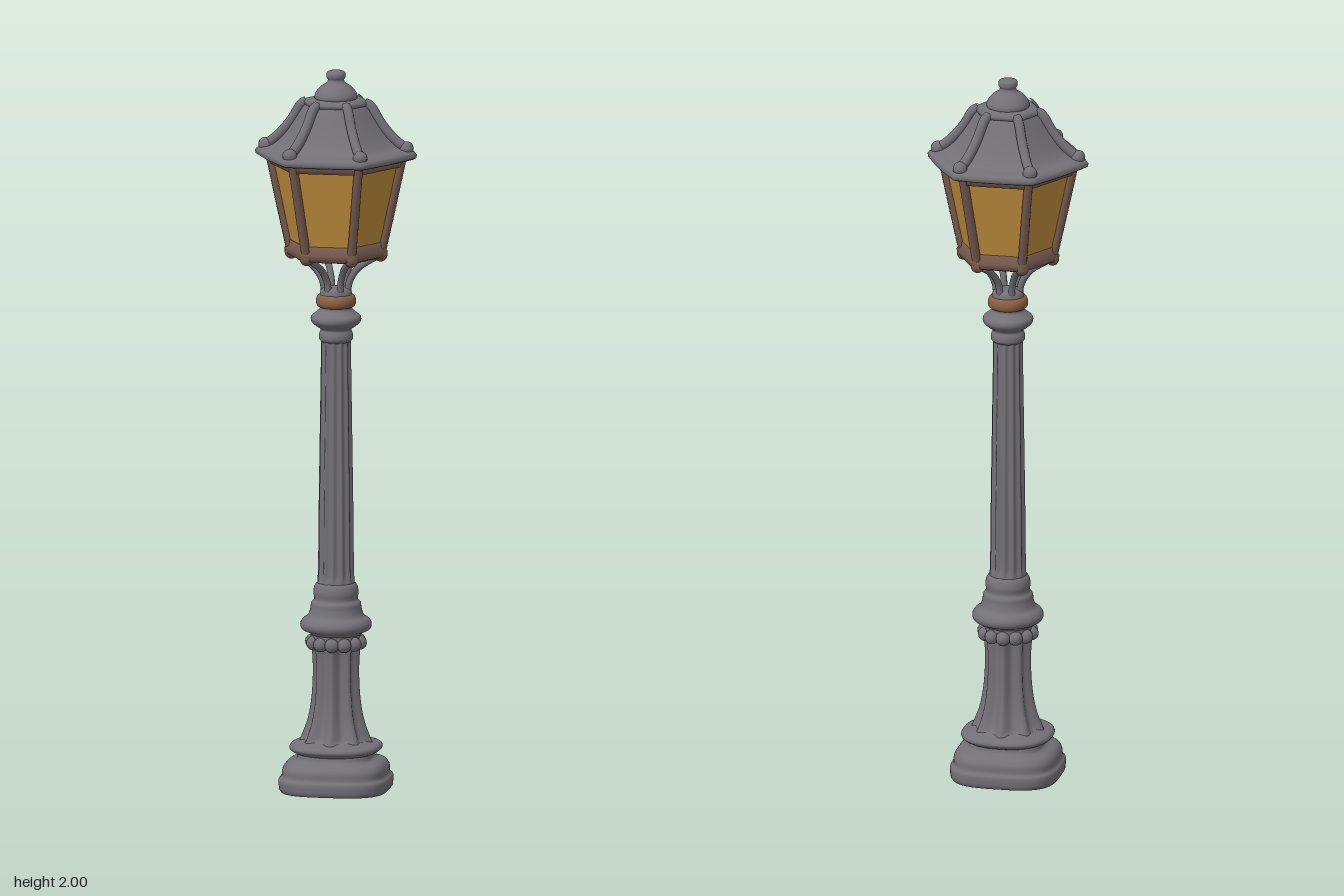
import * as THREE from 'three';

const mat = (name, color) => {
  const m = new THREE.MeshStandardMaterial({ color });
  m.name = name;
  return m;
};

// Radius rules for the cross-sections
const round = (a, y, r) => r;
const hex = (soft) => (a, y, r) => {
  const s = Math.PI / 3, t = (((a % s) + s) % s) - s / 2;
  return r * THREE.MathUtils.lerp(Math.cos(s / 2) / Math.cos(t), 1, soft);
};
const squarish = (n) => (a, y, r) =>
  r / Math.pow(Math.pow(Math.abs(Math.cos(a)), n) + Math.pow(Math.abs(Math.sin(a)), n), 1 / n);
const fluted = (count, depth, y0, y1) => (a, y, r) => {
  const fade = THREE.MathUtils.smoothstep(y, y0, y0 + 0.03) * (1 - THREE.MathUtils.smoothstep(y, y1 - 0.03, y1));
  return r * (1 - depth * fade * Math.pow(Math.abs(Math.sin((a * count) / 2)), 1.5));
};

// Skin a [radius, height] profile, listed from bottom to top, around the y axis
function loft(profile, shape = round, segs = 48) {
  const pos = [], index = [];
  profile.forEach(([r, y], i) => {
    for (let j = 0; j < segs; j++) {
      const a = (j / segs) * Math.PI * 2, k = shape(a, y, r);
      pos.push(Math.cos(a) * k, y, Math.sin(a) * k);
      if (i === profile.length - 1) continue;
      const p = i * segs + j, q = i * segs + ((j + 1) % segs);
      index.push(p, p + segs, q, q, p + segs, q + segs);
    }
  });
  const g = new THREE.BufferGeometry();
  g.setAttribute('position', new THREE.Float32BufferAttribute(pos, 3));
  g.setIndex(index);
  g.computeVertexNormals();
  return g;
}

// Round off a profile
const smooth = (pts, steps = 4) =>
  new THREE.CatmullRomCurve3(pts.map(([r, y]) => new THREE.Vector3(r, y, 0)), false, 'centripetal')
    .getPoints((pts.length - 1) * steps).map((v) => [Math.max(0, v.x), v.y]);

const flat = (g) => {
  const f = g.toNonIndexed();
  f.computeVertexNormals();
  return f;
};

export function createModel() {
  const iron = mat('iron grey', 0x737176);
  const bronze = mat('bronze brown', 0x75584c);
  const copper = mat('copper', 0x8a5f45);
  const amber = mat('amber glass', 0xbd8b3c);

  const lamp = new THREE.Group();
  lamp.name = 'streetLamp';
  const add = (name, geo, m, parent = lamp) => {
    const mesh = new THREE.Mesh(geo, m);
    mesh.name = name;
    parent.add(mesh);
    return mesh;
  };
  const tube = (pts, r) => new THREE.TubeGeometry(
    new THREE.CatmullRomCurve3(pts.map(([x, y]) => new THREE.Vector3(x, y, 0))), 14, r, 8);

  // Rounded-square foot and the ledge above it
  add('foot', loft([[0, 0], [0.14, 0], [0.145, 0.001],
    ...smooth([[0.15, 0.008], [0.151, 0.035], [0.143, 0.045], [0.141, 0.065], [0.13, 0.08], [0.105, 0.09], [0.1, 0.105]])],
  squarish(3.2), 64), iron);
  add('ledge', loft(smooth([[0.095, 0.1], [0.115, 0.108], [0.126, 0.118], [0.122, 0.128], [0.1, 0.135], [0.085, 0.14]]),
    squarish(2.4), 64), iron);

  // Flared, scooped pedestal with a crown of leaf tips
  add('pedestal', loft(smooth([[0.105, 0.125], [0.095, 0.15], [0.08, 0.19], [0.07, 0.24], [0.065, 0.3], [0.065, 0.36],
    [0.068, 0.4], [0.068, 0.44]]), fluted(8, 0.22, 0.12, 0.42), 96), iron);
  for (let i = 0; i < 12; i++) {
    const a = (i / 12) * Math.PI * 2;
    const tip = add('leafTip', new THREE.SphereGeometry(0.02, 12, 8), iron);
    tip.position.set(Math.cos(a) * 0.066, 0.41, Math.sin(a) * 0.066);
  }
  add('pedestalCollar', loft(smooth([[0.06, 0.425], [0.075, 0.438], [0.093, 0.447], [0.098, 0.46], [0.092, 0.474],
    [0.077, 0.485], [0.07, 0.505], [0.068, 0.52], [0.06, 0.53], [0.062, 0.55], [0.057, 0.57], [0.045, 0.58]])), iron);

  // Slim fluted shaft
  add('shaft', loft(smooth([[0.052, 0.56], [0.05, 0.62], [0.048, 0.8], [0.045, 1.0], [0.042, 1.2], [0.041, 1.28]], 8),
    fluted(12, 0.13, 0.57, 1.27), 96), iron);

  // Neck mouldings with a copper band
  add('neck', loft(smooth([[0.038, 1.245], [0.046, 1.253], [0.046, 1.268], [0.042, 1.28], [0.055, 1.29], [0.068, 1.303],
    [0.068, 1.316], [0.054, 1.328], [0.045, 1.337], [0.045, 1.35], [0.043, 1.385], [0.035, 1.395], [0, 1.396]])), iron);
  add('neckBand', loft(smooth([[0.04, 1.34], [0.052, 1.347], [0.055, 1.36], [0.051, 1.373], [0.04, 1.38]])), copper);

  // Lantern glass, open-centred frames and corner parts
  const glass = flat(new THREE.CylinderGeometry(0.18, 0.125, 0.26, 6));
  glass.rotateY(Math.PI / 6).translate(0, 1.63, 0);
  add('glass', glass, amber);
  add('bottomFrame', loft([[0.1, 1.492], [0.128, 1.482], [0.142, 1.488], [0.144, 1.503], [0.136, 1.512], [0.133, 1.526],
    [0.118, 1.53]], hex(0), 72), bronze);
  add('topFrame', loft([[0.165, 1.735], [0.188, 1.738], [0.194, 1.765], [0.16, 1.768]], hex(0), 72), bronze);
  for (let i = 0; i < 6; i++) {
    const corner = new THREE.Group();
    corner.name = 'lanternCorner';
    corner.rotation.y = (i * Math.PI) / 3;
    lamp.add(corner);
    add('cornerPost', tube([[0.126, 1.5], [0.155, 1.63], [0.182, 1.755]], 0.013), bronze, corner);
    add('cornerFoot', new THREE.SphereGeometry(0.019, 14, 10), bronze, corner).position.set(0.124, 1.491, 0);
    add('strut', tube([[0.032, 1.38], [0.038, 1.415], [0.062, 1.452], [0.1, 1.478], [0.122, 1.49]], 0.0095), iron, corner);
    add('roofRidge', tube([[0.205, 1.782], [0.165, 1.811], [0.125, 1.857], [0.095, 1.905], [0.08, 1.912]], 0.014), iron, corner);
    add('ridgeKnob', new THREE.SphereGeometry(0.02, 14, 10), iron, corner).position.set(0.196, 1.788, 0);
  }

  // Six-sided roof, its soffit, cap and finial
  add('soffit', loft([[0, 1.758], [0.215, 1.758], [0.221, 1.762]], hex(0.2), 96), bronze);
  add('roof', loft([[0.219, 1.76], [0.224, 1.763], [0.225, 1.772], [0.22, 1.779],
    ...smooth([[0.208, 1.783], [0.18, 1.79], [0.155, 1.81], [0.125, 1.85], [0.1, 1.89], [0.085, 1.912]])],
  hex(0.2), 96), iron);
  add('roofCap', loft([[0.08, 1.9], [0.092, 1.905], [0.093, 1.914], [0.084, 1.92], [0.04, 1.925], [0, 1.925]], hex(0.15), 96), iron);
  add('finial', loft(smooth([[0.055, 1.918], [0.059, 1.926], [0.056, 1.938], [0.042, 1.955], [0.026, 1.966], [0.022, 1.974],
    [0.026, 1.982], [0.025, 1.994], [0.016, 1.999], [0, 2]])), iron);

  return lamp;
}
